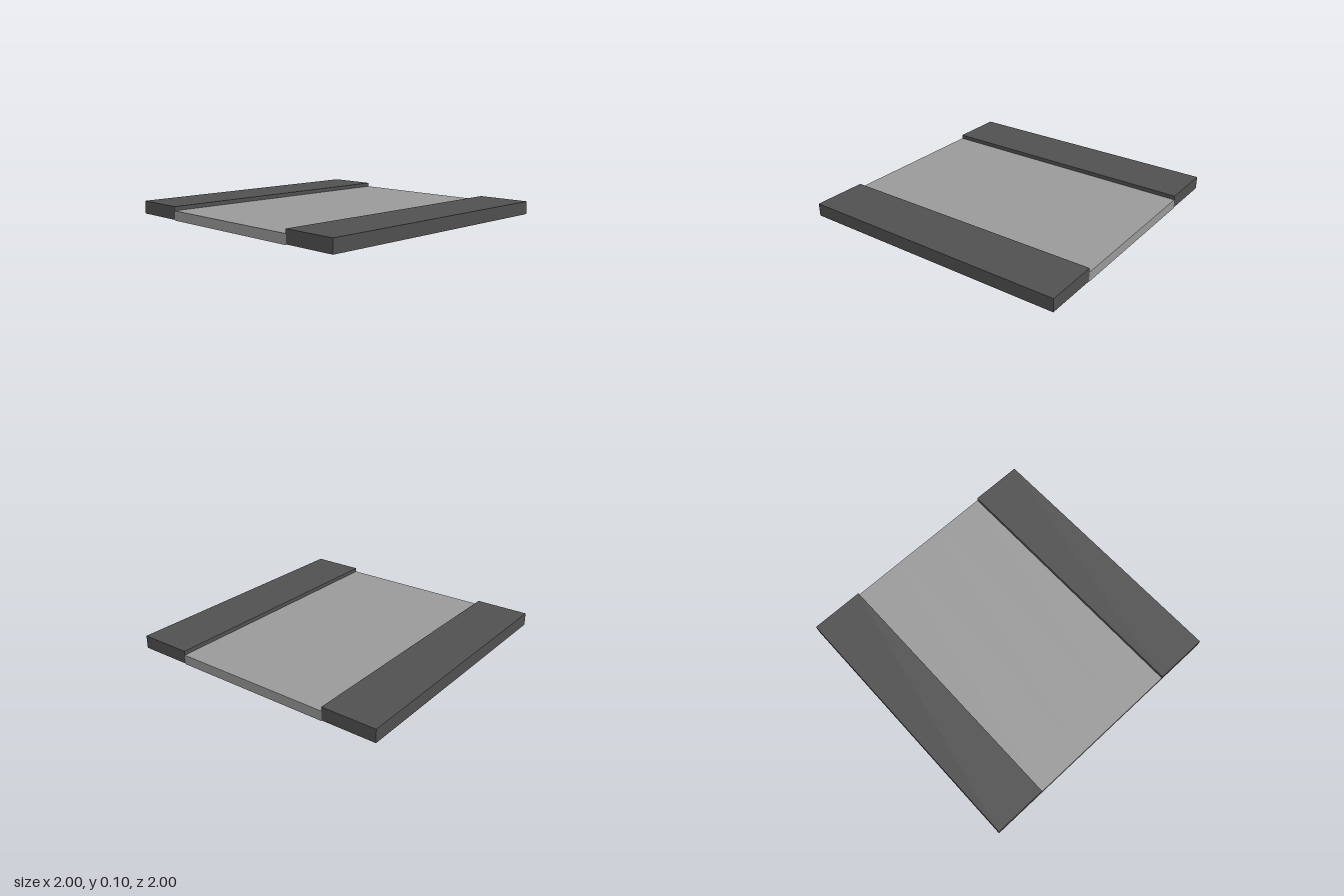
import * as THREE from 'three';

// Face order of a BoxGeometry: +x, -x, top, bottom, front, back
const RIGHT = 0, LEFT = 1, TOP = 2, FRONT = 4, BACK = 5;

// Thin hollow shell made of only the listed sides of a box
function shell(width, y0, y1, depth, sides) {
  const geometry = new THREE.BoxGeometry(width, y1 - y0, depth);
  const index = Array.from(geometry.index.array);
  geometry.setIndex(sides.flatMap((s) => index.slice(s * 6, s * 6 + 6)));
  geometry.clearGroups();
  geometry.translate(0, (y0 + y1) / 2, 0);
  return geometry;
}

export function createModel() {
  const paving = new THREE.MeshStandardMaterial({ color: 0x999999, side: THREE.DoubleSide });
  paving.name = 'lightGreyPaving';
  const curb = new THREE.MeshStandardMaterial({ color: 0x505050, side: THREE.DoubleSide });
  curb.name = 'darkGreyCurb';

  const model = new THREE.Group();
  model.name = 'floorSection';
  const add = (name, geometry, material, x) => {
    const mesh = new THREE.Mesh(geometry, material);
    mesh.name = name;
    mesh.position.x = x;
    model.add(mesh);
  };

  // Sunken floor: three open-bottomed bays; the middle one carries both ribs
  const bay = [TOP, FRONT, BACK];
  add('middleFloorBay', shell(0.4, 0, 0.07, 2, [...bay, RIGHT, LEFT]), paving, 0);
  for (const side of [-1, 1]) {
    const label = side > 0 ? 'left' : 'right';
    add(label + 'FloorBay', shell(0.4, 0, 0.07, 2, bay), paving, side * 0.4);
    // Raised, open-bottomed border
    add(label + 'Curb', shell(0.4, 0.005, 0.1, 2, [...bay, RIGHT, LEFT]), curb, side * 0.8);
  }
  return model;
}
